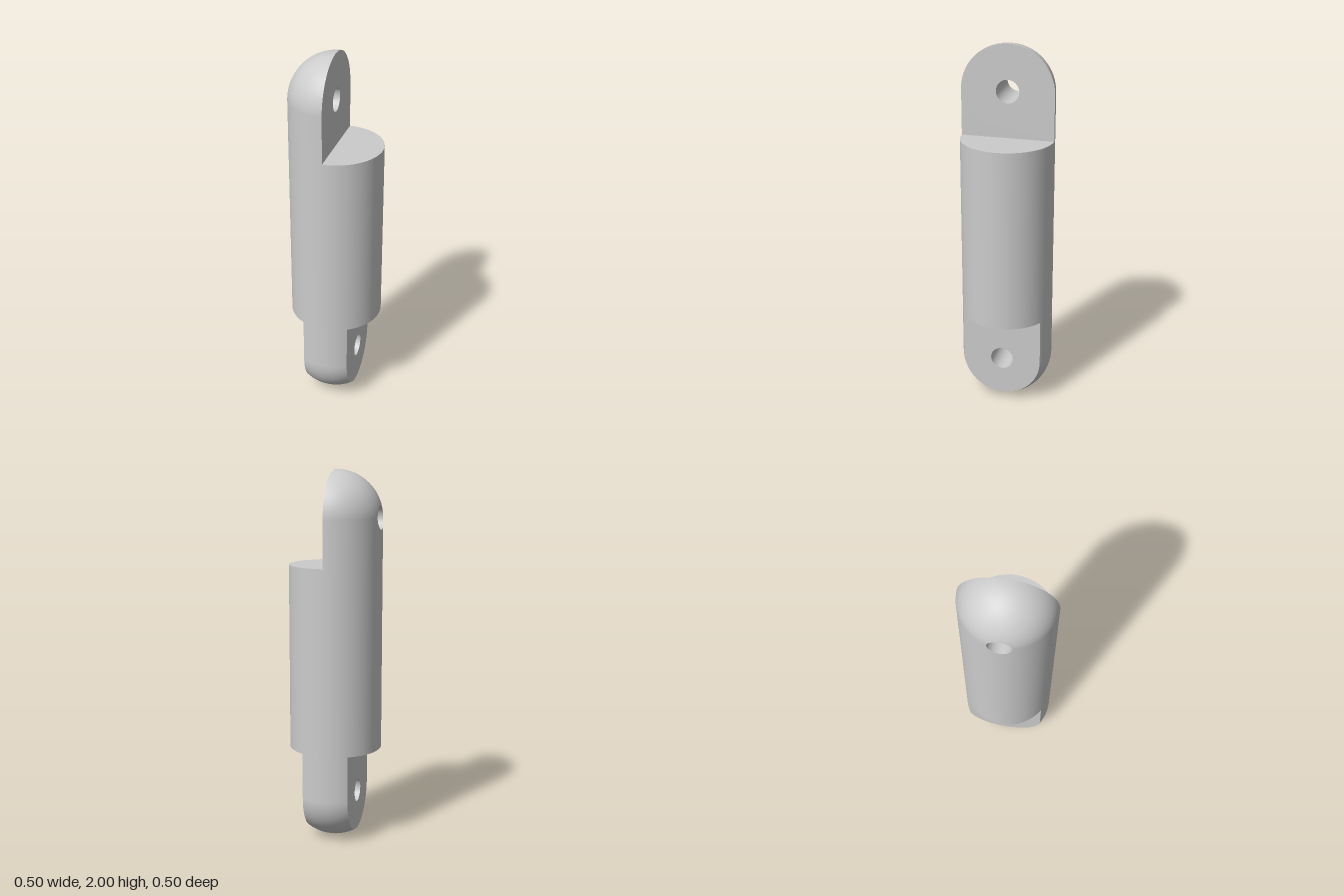
import * as THREE from 'three';
import { ParametricGeometry } from 'three/addons/geometries/ParametricGeometry.js';

const R = 0.25;          // capsule radius
const HALF = 0.125;      // half thickness of the lower lug
const HOLE = 0.0625;     // pin hole radius
const LOW = 0.25, HIGH = 1.75;   // centres of the round ends and pin holes
const FACE = Math.sqrt(R * R - HALF * HALF); // half width of the lower flats

// Point (z, y) on the lug outline: side, round end, side, then the shoulder edge
function outline(u, d, top) {
  const s = u * 6;
  let z, y;
  if (s <= 1) { z = -d; y = 0.5 - 0.25 * s; }
  else if (s <= 4) {
    const a = (s - 1) * Math.PI / 3;
    z = -d * Math.cos(a); y = LOW - d * Math.sin(a);
  } else if (s <= 5) { z = d; y = LOW + 0.25 * (s - 4); }
  else { z = d * Math.cos(Math.PI * (s - 5)); y = 0.5; }
  return new THREE.Vector2(z, top ? 2 - y : y);
}

// Point on the hole edge that faces the same outline point
function holeEdge(u, top) {
  const c = new THREE.Vector2(0, top ? HIGH : LOW);
  return outline(u, R, top).sub(c).setLength(HOLE).add(c);
}

// Depth of the capsule surface at (z, y)
function depth(p) {
  const dy = p.y - THREE.MathUtils.clamp(p.y, LOW, HIGH);
  return Math.sqrt(Math.max(0, R * R - p.x * p.x - dy * dy));
}

// Exact smooth normals for surfaces lying on the capsule
function capsuleNormals(geo) {
  const p = geo.attributes.position, n = geo.attributes.normal;
  for (let i = 0; i < p.count; i++) {
    const y = p.getY(i);
    const v = new THREE.Vector3(p.getX(i), y - THREE.MathUtils.clamp(y, LOW, HIGH), p.getZ(i)).normalize();
    n.setXYZ(i, v.x, v.y, v.z);
  }
  return geo;
}

// Flat lug face with the pin hole, turned to face +x or -x
function flatFace(d, top, side) {
  const pts = [];
  for (let i = 0; i <= 60; i++) pts.push(outline(i / 72, d, top));
  const shape = new THREE.Shape(pts);
  const hole = new THREE.Path();
  hole.absarc(0, top ? HIGH : LOW, HOLE, 0, Math.PI * 2, true);
  shape.holes.push(hole);
  return new THREE.ShapeGeometry(shape, 36).rotateY(side * Math.PI / 2);
}

// Wall of a pin hole between two depths
function bore(top, from, to) {
  return new ParametricGeometry((u, v, t) => {
    const p = holeEdge(u, top);
    t.set(THREE.MathUtils.lerp(from(p), to(p), v), p.y, p.x);
  }, 144, 2);
}

export function createModel() {
  const group = new THREE.Group();
  const material = new THREE.MeshStandardMaterial({ color: 0xcccccc });
  const add = (name, geo) => {
    const mesh = new THREE.Mesh(geo, material);
    mesh.name = name;
    group.add(mesh);
  };

  // Central barrel and its shoulders
  add('barrel', new THREE.CylinderGeometry(R, R, 1, 48, 1, true).translate(0, 1, 0));
  add('upperShoulder', new THREE.CircleGeometry(R, 24, -Math.PI / 2, Math.PI)
    .rotateX(-Math.PI / 2).translate(0, 1.5, 0));
  for (const side of [1, -1]) {
    const segment = new THREE.Shape().absarc(0, 0, R, -Math.PI / 3, Math.PI / 3, false);
    add(side > 0 ? 'leftLowerShoulder' : 'rightLowerShoulder',
      new THREE.ShapeGeometry(segment, 16).rotateZ(side > 0 ? 0 : Math.PI)
        .rotateX(Math.PI / 2).translate(0, 0.5, 0));
  }

  // Upper lug: half of the capsule, flat on the left
  add('upperLugSkin', capsuleNormals(new ParametricGeometry((u, v, t) => {
    const p = holeEdge(u, true).lerp(outline(u, R, true), Math.sin(v * Math.PI / 2));
    t.set(-depth(p), p.y, p.x);
  }, 144, 20)));
  add('upperLugFace', flatFace(R, true, 1));
  add('upperPinHole', bore(true, () => 0, p => -depth(p)));

  // Lower lug: centred tongue with two flats and a rounded rim
  add('lowerLugRim', capsuleNormals(new ParametricGeometry((u, v, t) => {
    const x = HALF * (1 - 2 * v);
    const p = outline(u * 5 / 6, Math.sqrt(R * R - x * x), false);
    t.set(x, p.y, p.x);
  }, 60, 10)));
  add('leftLowerLugFace', flatFace(FACE, false, 1).translate(HALF, 0, 0));
  add('rightLowerLugFace', flatFace(FACE, false, -1).translate(-HALF, 0, 0));
  add('lowerPinHole', bore(false, () => -HALF, () => HALF));

  return group;
}
